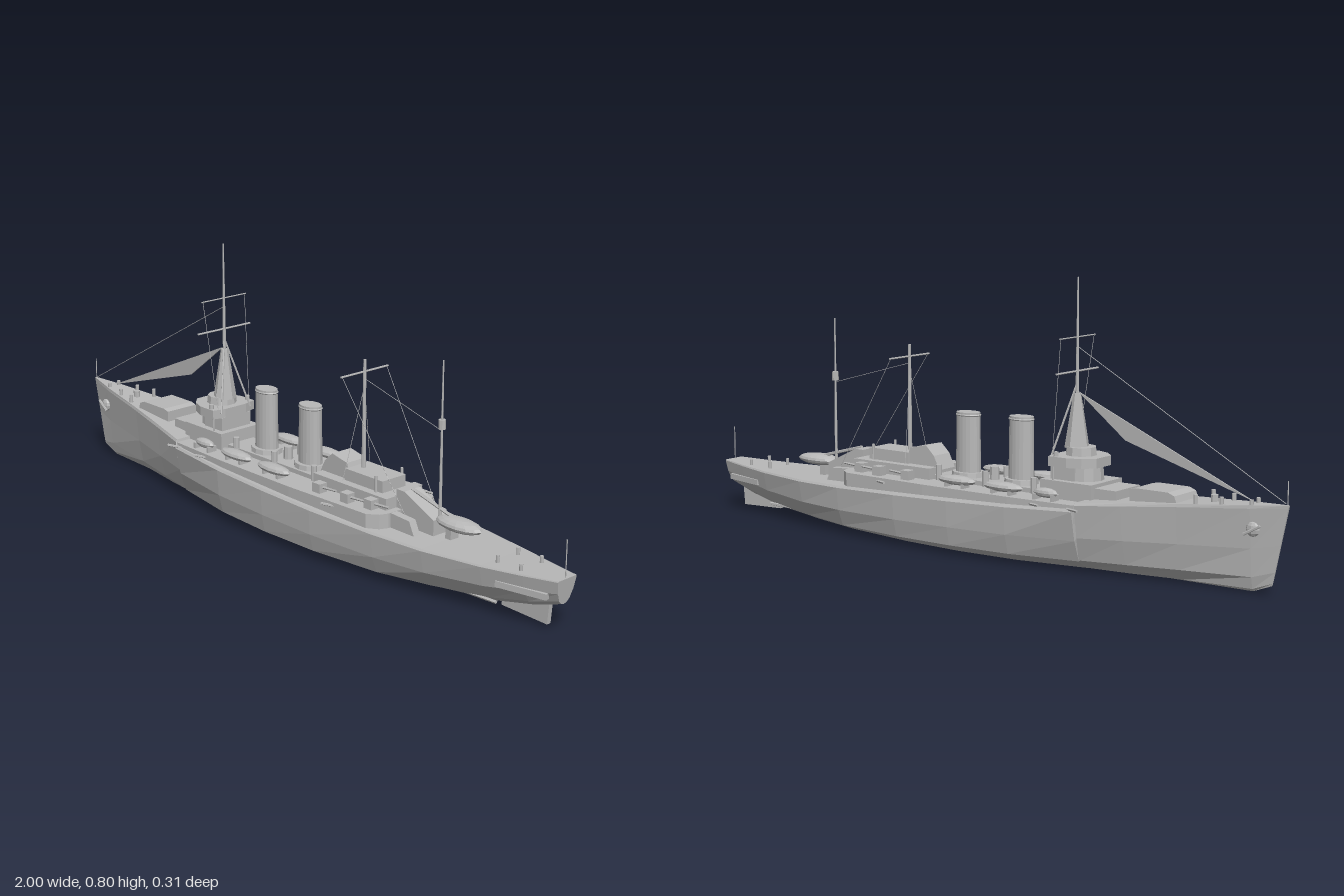
import * as THREE from 'three';

export function createModel() {
  const ship = new THREE.Group();
  ship.name = 'warship';
  const grey = new THREE.MeshStandardMaterial({ color: 0xb8b8b8, flatShading: true, side: THREE.DoubleSide });
  grey.name = 'ship grey';
  const V = (x, y, z) => new THREE.Vector3(x, y, z);

  function add(name, geo, x = 0, y = 0, z = 0) {
    const m = new THREE.Mesh(geo, grey);
    m.name = name;
    m.position.set(x, y, z);
    ship.add(m);
    return m;
  }
  // Box given by its x range, y range, and z range
  const box = (name, x0, x1, y0, y1, z0, z1) =>
    add(name, new THREE.BoxGeometry(x1 - x0, y1 - y0, z1 - z0), (x0 + x1) / 2, (y0 + y1) / 2, (z0 + z1) / 2);
  // Upright cylinder standing on y0
  const post = (name, x, z, y0, y1, r0, r1 = r0, n = 8) =>
    add(name, new THREE.CylinderGeometry(r1, r0, y1 - y0, n), x, (y0 + y1) / 2, z);
  // Round bar between two points
  function rod(name, a, b, r0, r1 = r0, n = 5) {
    const d = b.clone().sub(a);
    const m = add(name, new THREE.CylinderGeometry(r1, r0, d.length(), n));
    m.position.copy(a).addScaledVector(d, 0.5);
    m.quaternion.setFromUnitVectors(V(0, 1, 0), d.normalize());
    return m;
  }
  // Outline in (x, z) raised from y0 to y1
  function slab(name, pts, y0, y1) {
    const s = new THREE.Shape(pts.map(([x, z]) => new THREE.Vector2(x, -z)));
    const g = new THREE.ExtrudeGeometry(s, { depth: y1 - y0, bevelEnabled: false });
    g.rotateX(-Math.PI / 2);
    return add(name, g, 0, y0, 0);
  }
  // Outline in (x, y) extruded across the ship
  function profile(name, pts, halfWidth, z = 0) {
    const s = new THREE.Shape(pts.map(([x, y]) => new THREE.Vector2(x, y)));
    const g = new THREE.ExtrudeGeometry(s, { depth: halfWidth * 2, bevelEnabled: false });
    return add(name, g, 0, 0, z - halfWidth);
  }
  const mirror = (fn) => [1, -1].forEach(fn);

  // Hull stations: x, keel y, floor half, bilge half, side half, deck half, deck y, end rake
  const stations = [
    [-1, 0.03, 0.001, 0.002, 0.002, 0.003, 0.247, 0.05],
    [-0.9, 0.008, 0.005, 0.012, 0.018, 0.028, 0.24, 0],
    [-0.7, 0.006, 0.018, 0.042, 0.056, 0.066, 0.225, 0],
    [-0.55, 0.005, 0.04, 0.07, 0.088, 0.098, 0.213, 0],
    [-0.42, 0.005, 0.055, 0.095, 0.115, 0.128, 0.203, 0],
    [-0.415, 0.005, 0.055, 0.095, 0.117, 0.134, 0.185, 0],
    [-0.2, 0.004, 0.09, 0.13, 0.145, 0.151, 0.175, 0],
    [0, 0.004, 0.1, 0.141, 0.152, 0.156, 0.168, 0],
    [0.2, 0.004, 0.09, 0.136, 0.149, 0.153, 0.161, 0],
    [0.43, 0.005, 0.06, 0.112, 0.131, 0.138, 0.153, 0],
    [0.6, 0.01, 0.03, 0.075, 0.108, 0.12, 0.15, 0],
    [0.78, 0.028, 0.016, 0.045, 0.075, 0.088, 0.151, 0],
    [0.9, 0.055, 0.012, 0.03, 0.05, 0.06, 0.154, 0],
    [1, 0.085, 0.01, 0.02, 0.03, 0.036, 0.158, -0.02],
  ];
  const ringSize = 10, pos = [], idx = [];
  for (const [x, k, f, b, s, d, top, rake] of stations) {
    const h = top - k;
    const half = [[0, k], [f, k + h * 0.03], [b, k + h * 0.17], [s, k + h * 0.5], [d, top - h * 0.04], [d, top]];
    const ring = [...half.slice(0, 5), [d * 0.97, top], ...half.slice(1, 5).reverse().map(([z, y]) => [-z, y])];
    ring[6] = [-d * 0.97, top];
    ring.splice(7, 0, [-d, top - h * 0.04]);
    for (const [z, y] of ring.slice(0, 11)) pos.push(x + rake * (1 - y / top), y, z);
  }
  const n = pos.length / 3 / stations.length;
  for (let i = 0; i < stations.length - 1; i++) {
    for (let j = 0; j < n; j++) {
      const a = i * n + j, b = i * n + (j + 1) % n;
      idx.push(a, a + n, b + n, a, b + n, b);
    }
  }
  const last = (stations.length - 1) * n;
  for (let j = 1; j < n - 1; j++) idx.push(0, j, j + 1, last, last + j + 1, last + j);
  const hullGeo = new THREE.BufferGeometry();
  hullGeo.setAttribute('position', new THREE.Float32BufferAttribute(pos, 3));
  hullGeo.setIndex(idx);
  hullGeo.computeVertexNormals();
  add('hull', hullGeo);

  // Stern and bow fittings
  profile('rudder', [[0.79, 0.02], [0.945, 0.015], [0.95, 0.075], [0.9, 0.1], [0.79, 0.06]], 0.007);
  mirror((s) => {
    const g = box('sternGallery', 0.82, 0.97, 0.1, 0.117, -0.008, 0.008);
    g.position.z = s * 0.052;
    g.rotation.y = s * 0.2;
    const anchor = add('anchor', new THREE.SphereGeometry(0.02, 8, 6), -0.91, 0.178, s * 0.027);
    anchor.scale.z = 0.5;
    rod('anchorStock', V(-0.935, 0.19, s * 0.035), V(-0.89, 0.165, s * 0.04), 0.004);
    rod('propellerShaft', V(0.55, 0.04, s * 0.055), V(0.8, 0.04, s * 0.04), 0.005);
  });
  post('bowStaff', -0.995, 0, 0.24, 0.31, 0.0015);
  post('sternStaff', 0.993, 0, 0.155, 0.26, 0.0015);

  // Upper deck with angled casemate ends
  const edge = [[-0.42, 0.126], [-0.2, 0.136], [0.1, 0.138], [0.4, 0.128], [0.43, 0.105], [0.44, 0.08]];
  slab('upperDeck', [...edge, ...edge.map(([x, z]) => [x, -z]).reverse()], 0.145, 0.195);

  // Foredeck
  profile('foredeckHouse', [[-0.7, 0.215], [-0.55, 0.205], [-0.55, 0.245], [-0.57, 0.25], [-0.67, 0.25], [-0.69, 0.242]], 0.055);
  box('breakwater', -0.51, -0.42, 0.195, 0.235, -0.06, 0.06);
  mirror((s) => {
    [-0.9, -0.82, -0.75].forEach((x) => post('bollard', x, s * (x + 1) * 0.18, 0.22, 0.253, 0.006));
    [0.8, 0.88].forEach((x) => post('sternBollard', x, s * 0.04, 0.145, 0.172, 0.005));
  });
  post('capstan', -0.78, 0, 0.22, 0.25, 0.01);

  // Bridge
  box('bridgeBase', -0.44, -0.27, 0.19, 0.245, -0.075, 0.075);
  post('conningTower', -0.37, 0, 0.24, 0.3, 0.052, 0.048, 12);
  box('chartHouse', -0.37, -0.29, 0.24, 0.285, -0.055, 0.055);
  slab('bridgePlatform', [[-0.43, 0.035], [-0.4, 0.065], [-0.36, 0.08], [-0.3, 0.08], [-0.29, 0.04],
    [-0.29, -0.04], [-0.3, -0.08], [-0.36, -0.08], [-0.4, -0.065], [-0.43, -0.035]], 0.285, 0.312);
  post('wheelHouse', -0.355, 0, 0.31, 0.335, 0.045, 0.042, 10);
  mirror((s) => {
    post('searchlight', -0.32, s * 0.07, 0.31, 0.325, 0.007);
    post('bridgePost', -0.31, s * 0.07, 0.195, 0.29, 0.003);
  });

  // Foremast with tripod, yards and headsail
  post('foremast', -0.34, 0, 0.195, 0.8, 0.008, 0.002);
  post('mastTrunk', -0.34, 0, 0.33, 0.48, 0.035, 0.011, 8);
  post('foretop', -0.34, 0, 0.44, 0.468, 0.011, 0.011, 8);
  mirror((s) => rod('foremastLeg', V(-0.29, 0.3, s * 0.056), V(-0.34, 0.51, 0), 0.003));
  rod('lowerYard', V(-0.34, 0.542, -0.1), V(-0.34, 0.542, 0.1), 0.003);
  rod('upperYard', V(-0.34, 0.636, -0.085), V(-0.34, 0.636, 0.085), 0.002);
  profile('stayPanel', [[-0.89, 0.248], [-0.5, 0.365], [-0.345, 0.485]], 0.002);
  rod('forestay', V(-0.99, 0.25, 0), V(-0.34, 0.61, 0), 0.001);

  // Funnels, oval in plan
  [[-0.15, 0.4], [0.04, 0.395]].forEach(([x, top]) => {
    const f = post('funnel', x, 0, 0.19, top, 0.041, 0.038, 20);
    f.scale.z = 0.72;
    const cap = add('funnelRim', new THREE.TorusGeometry(0.038, 0.003, 5, 20), x, top - 0.008, 0);
    cap.rotation.x = Math.PI / 2;
    cap.scale.y = 0.72;
    const base = post('funnelBase', x, 0, 0.19, 0.222, 0.055, 0.05, 12);
    base.scale.z = 0.85;
  });
  box('boilerCasing', -0.27, 0.13, 0.19, 0.208, -0.05, 0.05);

  // Ventilators and boats along both sides
  mirror((s) => {
    [-0.23, -0.06, 0.11].forEach((x) => post('ventilator', x, s * 0.05, 0.19, 0.24, 0.009));
    [-0.165, 0, -0.31].forEach((x, i) => {
      const long = i < 2;
      const boat = add('boat', new THREE.SphereGeometry(1, 12, 6), x, 0.215, s * 0.105);
      boat.scale.set(long ? 0.068 : 0.04, 0.014, long ? 0.024 : 0.016);
      [-0.03, 0.03].forEach((d) => box('boatCradle', x + d - 0.004, x + d + 0.004, 0.19, 0.212, s * 0.105 - 0.016, s * 0.105 + 0.016));
    });
    // Deck guns with shields
    [[0.19, 0.1], [0.3, 0.098], [0.38, 0.085]].forEach(([x, z]) => {
      box('gunShield', x - 0.018, x + 0.012, 0.19, 0.222, s * z - 0.014, s * z + 0.014);
      rod('gunBarrel', V(x, 0.21, s * z), V(x + 0.065, 0.214, s * z), 0.004, 0.003, 6);
    });
    // Casemate guns on the hull ledge
    [-0.38, -0.25, 0.3].forEach((x) => rod('casemateGun', V(x, 0.183, s * 0.12), V(x - 0.06, 0.185, s * 0.143), 0.004));
  });
  post('centreVentilator', -0.055, 0, 0.19, 0.245, 0.015, 0.013);

  // Aft superstructure
  box('aftHouse', 0.13, 0.42, 0.19, 0.228, -0.07, 0.07);
  box('aftUpperHouse', 0.23, 0.38, 0.225, 0.262, -0.045, 0.045);
  profile('aftControlHouse', [[0.12, 0.22], [0.25, 0.22], [0.23, 0.275], [0.17, 0.288], [0.14, 0.26]], 0.036);
  profile('aftSlope', [[0.42, 0.15], [0.56, 0.15], [0.56, 0.195], [0.45, 0.248], [0.42, 0.248]], 0.03);
  mirror((s) => {
    profile('aftWing', [[0.43, 0.148], [0.53, 0.148], [0.51, 0.19], [0.43, 0.195]], 0.012, s * 0.06);
    post('aftPost', 0.36, s * 0.05, 0.22, 0.275, 0.004);
  });

  // Mainmast and aft pole
  post('mainmast', 0.26, 0, 0.2, 0.575, 0.007, 0.004);
  rod('mainYard', V(0.26, 0.54, -0.09), V(0.26, 0.54, 0.09), 0.003);
  post('aftPole', 0.555, 0, 0.15, 0.635, 0.005, 0.002);
  post('poleLantern', 0.555, 0, 0.445, 0.472, 0.01, 0.01, 8);
  rod('aerial', V(0.26, 0.52, 0), V(0.555, 0.44, 0), 0.0008);
  mirror((s) => {
    rod('mainStay', V(0.26, 0.54, s * 0.085), V(0.48, 0.2, s * 0.06), 0.0008);
    rod('mainShroud', V(0.26, 0.5, 0), V(0.23, 0.2, s * 0.06), 0.0008);
    rod('halyard', V(-0.34, 0.636, s * 0.08), V(-0.3, 0.31, s * 0.06), 0.0008);
  });

  // Launch carried over the quarterdeck
  const launch = add('launch', new THREE.SphereGeometry(1, 14, 8), 0.625, 0.195, 0);
  launch.scale.set(0.08, 0.018, 0.036);
  box('launchStand', 0.59, 0.61, 0.145, 0.19, -0.015, 0.015);
  rod('launchBoom', V(0.45, 0.25, 0), V(0.62, 0.205, 0), 0.005);

  return ship;
}
